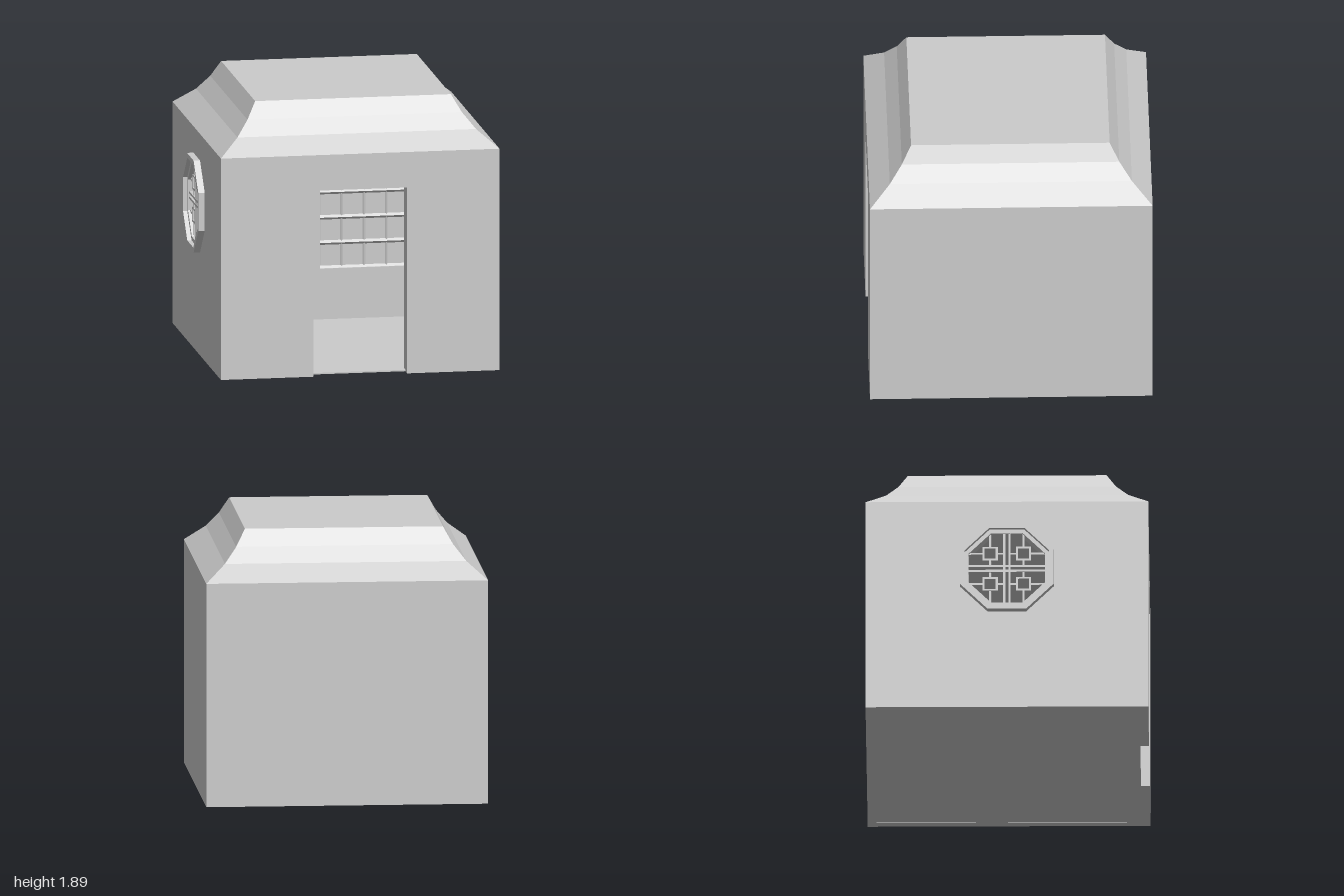
import * as THREE from 'three';

const HALF = 0.975, WALL = 0.06, INNER = HALF - WALL, TOP = 1.56;
const material = new THREE.MeshStandardMaterial({ color: 0xcccccc, flatShading: true });

function add(parent, name, geometry, x = 0, y = 0, z = 0) {
  const mesh = new THREE.Mesh(geometry, material);
  mesh.name = name;
  mesh.position.set(x, y, z);
  parent.add(mesh);
  return mesh;
}
const box = (parent, name, w, h, d, x, y, z) => add(parent, name, new THREE.BoxGeometry(w, h, d), x, y, z);
const extrude = (shape, depth) => new THREE.ExtrudeGeometry(shape, { depth, bevelEnabled: false });
const polygon = (points) => points.map(([x, y]) => new THREE.Vector2(x, y));
// Octagon with flat top, bottom and sides
const octagon = (r, cy = 0) => polygon(Array.from({ length: 8 }, (_, i) => {
  const a = (i + 0.5) * Math.PI / 4;
  return [r * Math.cos(a), cy + r * Math.sin(a)];
}));
function octagonRing(outer, inner, depth) {
  const shape = new THREE.Shape(octagon(outer));
  shape.holes.push(new THREE.Path(octagon(inner)));
  return extrude(shape, depth);
}

// Framed screen panel with a solid foot and a grid of ridged bars
function screenPanel() {
  const panel = new THREE.Group();
  panel.name = 'screenPanel';
  const stile = 0.035, cols = 5, rows = 5, pitchX = 0.157, pitchY = 0.178, y0 = 0.37;
  const w = cols * pitchX, h = rows * pitchY, total = w + 2 * stile;
  box(panel, 'screenFoot', total, y0 - 0.01, 0.06, total / 2, (y0 + 0.01) / 2, 0);
  box(panel, 'screenTopRail', total, 0.05, 0.06, total / 2, y0 + h + 0.025, 0);
  for (const x of [stile / 2, total - stile / 2]) box(panel, 'screenStile', stile, h, 0.06, x, y0 + h / 2, 0);
  box(panel, 'screenPane', w, h, 0.03, stile + w / 2, y0 + h / 2, -0.015);
  const r = 0.016;
  for (let i = 0; i <= cols; i++) {
    add(panel, 'screenUprightBar', new THREE.CylinderGeometry(r * 0.6, r * 0.6, h, 4), stile + i * pitchX, y0 + h / 2, 0.002);
  }
  for (let j = 0; j <= rows; j++) {
    const bar = add(panel, 'screenCrossBar', new THREE.CylinderGeometry(r, r, w, 4), stile + w / 2, y0 + j * pitchY, 0.004);
    bar.rotation.z = Math.PI / 2;
  }
  return panel;
}

// Octagonal window: stepped frame and nested lattice, facing local +z
function octagonWindow() {
  const win = new THREE.Group();
  win.name = 'octagonWindow';
  add(win, 'windowOuterFrame', octagonRing(0.35, 0.315, 0.11));
  add(win, 'windowInnerFrame', octagonRing(0.32, 0.285, 0.08));
  const z = 0.05, reach = 0.55;
  for (const s of [-1, 1]) {
    box(win, 'latticeUpright', 0.016, reach, 0.045, s * 0.018, 0, z);
    box(win, 'latticeCrossBar', reach, 0.016, 0.045, 0, s * 0.018, z);
  }
  for (const sx of [-1, 1]) for (const sy of [-1, 1]) {
    const cx = sx * 0.115, cy = sy * 0.115;
    for (const k of [-1, 1]) {
      box(win, 'latticeSquareUpright', 0.014, 0.104, 0.035, cx + k * 0.045, cy, z);
      box(win, 'latticeSquareCrossBar', 0.104, 0.014, 0.035, cx, cy + k * 0.045, z);
    }
    // Short links from each square to the frame and the cross
    for (const r of [0.045, 0.215]) {
      const len = r < 0.1 ? 0.05 : 0.11;
      box(win, 'latticeLink', len, 0.014, 0.03, sx * r, cy, z);
      box(win, 'latticeLink', 0.014, len, 0.03, cx, sy * r, z);
    }
  }
  return win;
}

export function createModel() {
  const model = new THREE.Group();
  model.name = 'house';
  const body = new THREE.Group();
  body.name = 'building';
  body.position.x = 0.02;
  model.add(body);

  // Front wall with a doorway open to the ground
  const dw = 0.328, dh = 1.31;
  const front = new THREE.Shape(polygon([
    [-HALF, 0], [-dw, 0], [-dw, dh], [dw, dh], [dw, 0], [HALF, 0], [HALF, TOP], [-HALF, TOP],
  ]));
  add(body, 'frontWall', extrude(front, WALL), 0, 0, INNER);
  for (const s of [-1, 1]) {
    box(body, 'doorInnerPanel', INNER - dw, dh, 0.07, s * (INNER + dw) / 2, dh / 2 + 0.005, INNER - 0.035);
  }

  // Back and left walls
  box(body, 'backWall', 2 * HALF, TOP, WALL, 0, TOP / 2, -HALF + WALL / 2);
  box(body, 'leftWall', WALL, TOP, 2 * INNER, HALF - WALL / 2, TOP / 2, 0);

  // Right wall with the window hole
  const windowY = 1.05;
  const right = new THREE.Shape(polygon([[-INNER, 0], [INNER, 0], [INNER, TOP], [-INNER, TOP]]));
  right.holes.push(new THREE.Path(octagon(0.345, windowY)));
  add(body, 'rightWall', extrude(right, WALL), -INNER, 0, 0).rotation.y = -Math.PI / 2;
  const win = octagonWindow();
  win.position.set(-0.91, windowY, 0);
  win.rotation.y = -Math.PI / 2;
  body.add(win);

  box(body, 'floor', 2 * INNER, 0.01, 2 * INNER, 0, 0.008, 0);

  // Pair of screens against the inside of the back wall
  const width = 5 * 0.157 + 0.07;
  for (const x of [-width, 0]) {
    const screen = screenPanel();
    screen.position.set(x, 0, -INNER + 0.03);
    body.add(screen);
  }

  // Concave stepped hip roof with a flat top
  const profile = [[0, TOP], [HALF, TOP], [0.835, 1.675], [0.75, 1.78], [0.685, 1.895], [0, 1.895]]
    .map(([r, y]) => new THREE.Vector2(r * Math.SQRT2, y));
  add(body, 'roof', new THREE.LatheGeometry(profile, 4, Math.PI / 4));

  return model;
}
